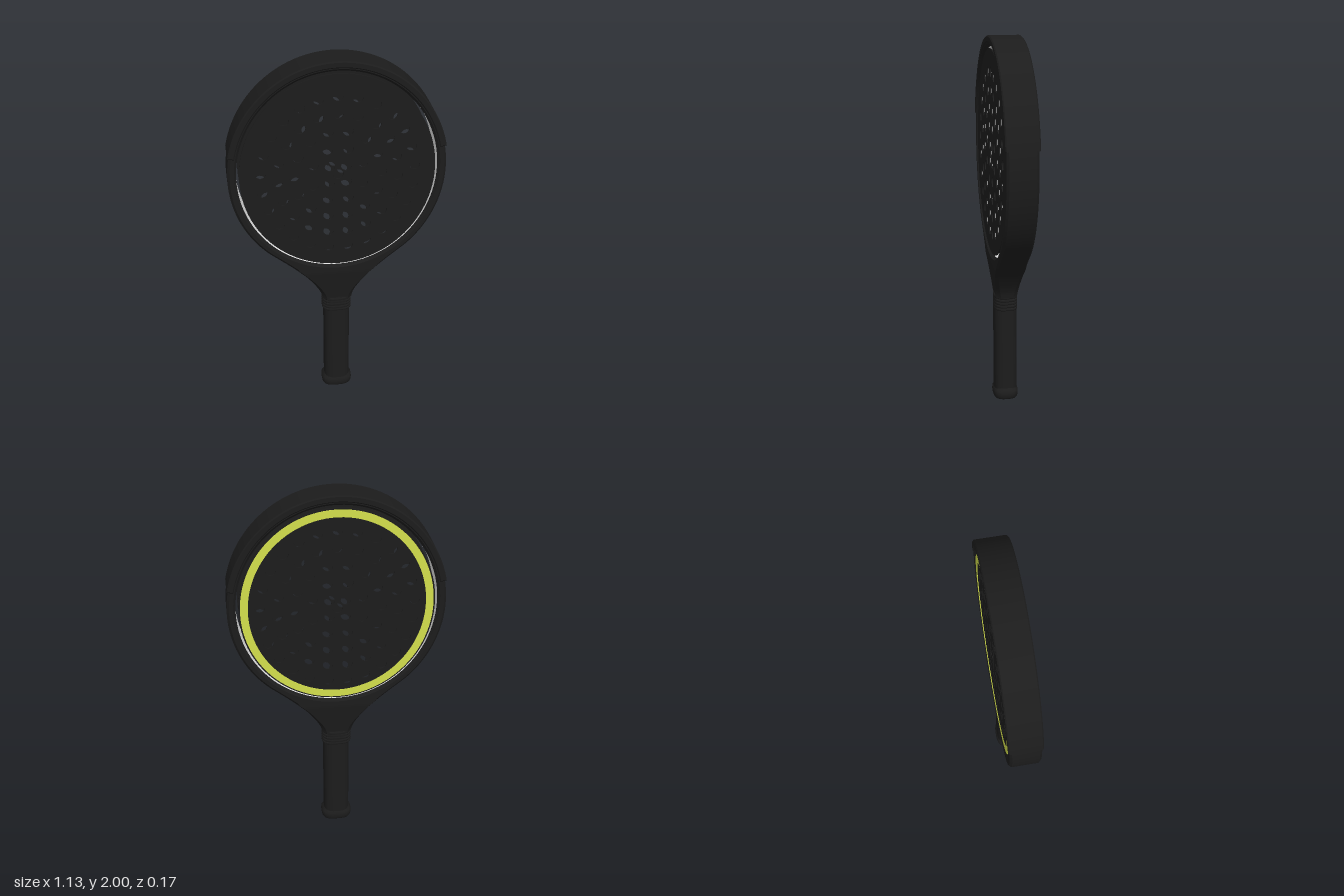
import * as THREE from 'three';
import { toCreasedNormals } from 'three/addons/utils/BufferGeometryUtils.js';

const CY = 1.39; // height of the head centre

const ellipsePoints = (rx, ry, from = 0, to = Math.PI * 2, n = 96) =>
  Array.from({ length: n + 1 }, (_, i) => {
    const a = from + ((to - from) * i) / n;
    return new THREE.Vector2(rx * Math.cos(a), CY + ry * Math.sin(a));
  });

const ellipsePath = (rx, ry) => new THREE.Path(ellipsePoints(rx, ry).slice(0, -1));

// Extrude a shape between z = back and z = front, with an optional bevel
function slab(shape, back, front, bevel = 0) {
  const g = new THREE.ExtrudeGeometry(shape, {
    depth: front - back - 2 * bevel, curveSegments: 18, bevelEnabled: bevel > 0,
    bevelSize: bevel, bevelThickness: bevel, bevelOffset: -bevel, bevelSegments: 1,
  });
  return toCreasedNormals(g.translate(0, 0, back + bevel), 0.5);
}

// Turned profile [radius, y], reshaped to a rounded-rectangle section
function gripPart(profile, depthRatio) {
  const g = new THREE.LatheGeometry(profile.map(([r, y]) => new THREE.Vector2(r, y)), 40);
  const p = g.attributes.position;
  for (let i = 0; i < p.count; i++) {
    const x = p.getX(i), z = p.getZ(i), r = Math.hypot(x, z);
    if (r < 1e-6) continue;
    const k = 1 / Math.pow(Math.abs(x / r) ** 3 + Math.abs(z / r) ** 3, 1 / 3);
    p.setX(i, x * k);
    p.setZ(i, z * k * depthRatio);
  }
  return toCreasedNormals(g, 0.6);
}

// Chamfered cross-sections stacked downwards along an outline of (half width, y)
function throatLoft(outline) {
  const verts = [], index = [];
  outline.forEach(({ x, y }, row) => {
    const t = THREE.MathUtils.clamp((0.79 - y) / 0.18, 0, 1);
    const d = 0.08 * (1 - 0.27 * t), b = 0.012 + 0.012 * t;
    const section = [[x, d - b], [x - b, d], [b - x, d], [-x, d - b],
      [-x, b - d], [b - x, -d], [x - b, -d], [x, b - d]];
    for (const [px, pz] of section) verts.push(px, y, pz);
    if (row === 0) return;
    for (let i = 0; i < 8; i++) {
      const j = (i + 1) % 8, up = (row - 1) * 8, low = row * 8;
      index.push(up + i, up + j, low + i, up + j, low + j, low + i);
    }
  });
  const g = new THREE.BufferGeometry();
  g.setAttribute('position', new THREE.Float32BufferAttribute(verts, 3));
  g.setIndex(index);
  return toCreasedNormals(g, 0.5);
}

export function createModel() {
  const material = (name, color) => {
    const m = new THREE.MeshStandardMaterial({ color });
    m.name = name;
    return m;
  };
  const black = material('black', 0x1c1c1c);
  const white = material('white', 0xffffff);
  white.side = THREE.DoubleSide;
  const lime = material('lime', 0xd4e04c);

  const model = new THREE.Group();
  model.name = 'paddleRacket';
  const add = (name, geometry, mat) => {
    const m = new THREE.Mesh(geometry, mat);
    m.name = name;
    model.add(m);
    return m;
  };

  // Frame: elliptical head, cut off where the throat begins
  const a0 = -0.88;
  const head = ellipsePoints(0.567, 0.6, a0, Math.PI - a0);
  const outline = new THREE.SplineCurve([
    head[0], new THREE.Vector2(0.25, 0.838), new THREE.Vector2(0.175, 0.768),
    new THREE.Vector2(0.12, 0.695), new THREE.Vector2(0.09, 0.64), new THREE.Vector2(0.08, 0.6),
  ]).getPoints(40).slice(1);
  const shoulder = outline.filter((p) => p.y > 0.785);
  const frameShape = new THREE.Shape([
    ...head, ...shoulder.map((p) => new THREE.Vector2(-p.x, p.y)), ...shoulder.slice().reverse(),
  ]);
  frameShape.holes.push(ellipsePath(0.522, 0.557));
  add('frame', slab(frameShape, -0.08, 0.08, 0.012), black);
  add('throat', throatLoft(outline.filter((p) => p.y < 0.82)), black);

  // Bumper guard wrapped over the top of the frame
  const g0 = 0.2, g1 = Math.PI - 0.2;
  const guardShape = new THREE.Shape([
    ...ellipsePoints(0.574, 0.61, g0, g1, 72),
    ...ellipsePoints(0.538, 0.574, g0, g1, 72).reverse(),
  ]);
  add('bumperGuard', slab(guardShape, -0.086, 0.086, 0.006), black);

  // White lining on the inner wall of the frame
  const lining = new THREE.CylinderGeometry(1, 1, 0.124, 96, 1, true);
  lining.rotateX(Math.PI / 2).scale(0.5215, 0.5565, 1).translate(0, CY, 0);
  add('innerLining', lining, white);

  // Perforated hitting faces: rings of [count, rx, ry, first angle in steps]
  const rings = [
    [25, 0.4, 0.432, 0], [19, 0.313, 0.338, 0], [14, 0.228, 0.245, 0.5],
    [8, 0.139, 0.152, 0.5], [4, 0.06, 0.064, 0.5], [1, 0, 0, 0],
  ];
  const faceShape = new THREE.Shape(ellipsePoints(0.508, 0.544).slice(0, -1));
  for (const [count, rx, ry, offset] of rings) {
    for (let i = 0; i < count; i++) {
      const a = ((i + offset) / count) * Math.PI * 2;
      const hole = new THREE.Path();
      hole.absarc(rx * Math.sin(a), CY - 0.005 + ry * Math.cos(a), 0.027, 0, Math.PI * 2, true);
      faceShape.holes.push(hole);
    }
  }
  const faceGeometry = slab(faceShape, -0.003, 0.003);
  add('frontFace', faceGeometry, black).position.z = 0.072;
  add('backFace', faceGeometry, black).position.z = -0.072;

  // Lime ring on the back face
  const ringShape = new THREE.Shape(ellipsePoints(0.5, 0.536).slice(0, -1));
  ringShape.holes.push(ellipsePath(0.46, 0.496));
  add('backRing', slab(ringShape, -0.078, -0.074), lime);

  // Grip, butt cap and ribbed collar
  add('grip', gripPart([[0.07, 0.04], [0.071, 0.3], [0.071, 0.54]], 0.88), black);
  add('buttCap', gripPart([
    [0, 0], [0.07, 0], [0.077, 0.004], [0.082, 0.012], [0.085, 0.03],
    [0.084, 0.045], [0.077, 0.055], [0.07, 0.066],
  ], 0.81), black);
  const ribs = 5, y0 = 0.525, step = 0.017;
  const collar = [[0.068, y0]];
  for (let i = 0; i < ribs; i++) {
    const y = y0 + i * step;
    collar.push([0.077, y + 0.001], [0.08, y + 0.005], [0.08, y + 0.012], [0.077, y + 0.016]);
  }
  collar.push([0.07, y0 + ribs * step], [0, y0 + ribs * step]);
  add('collar', gripPart(collar, 0.8), black);

  return model;
}
